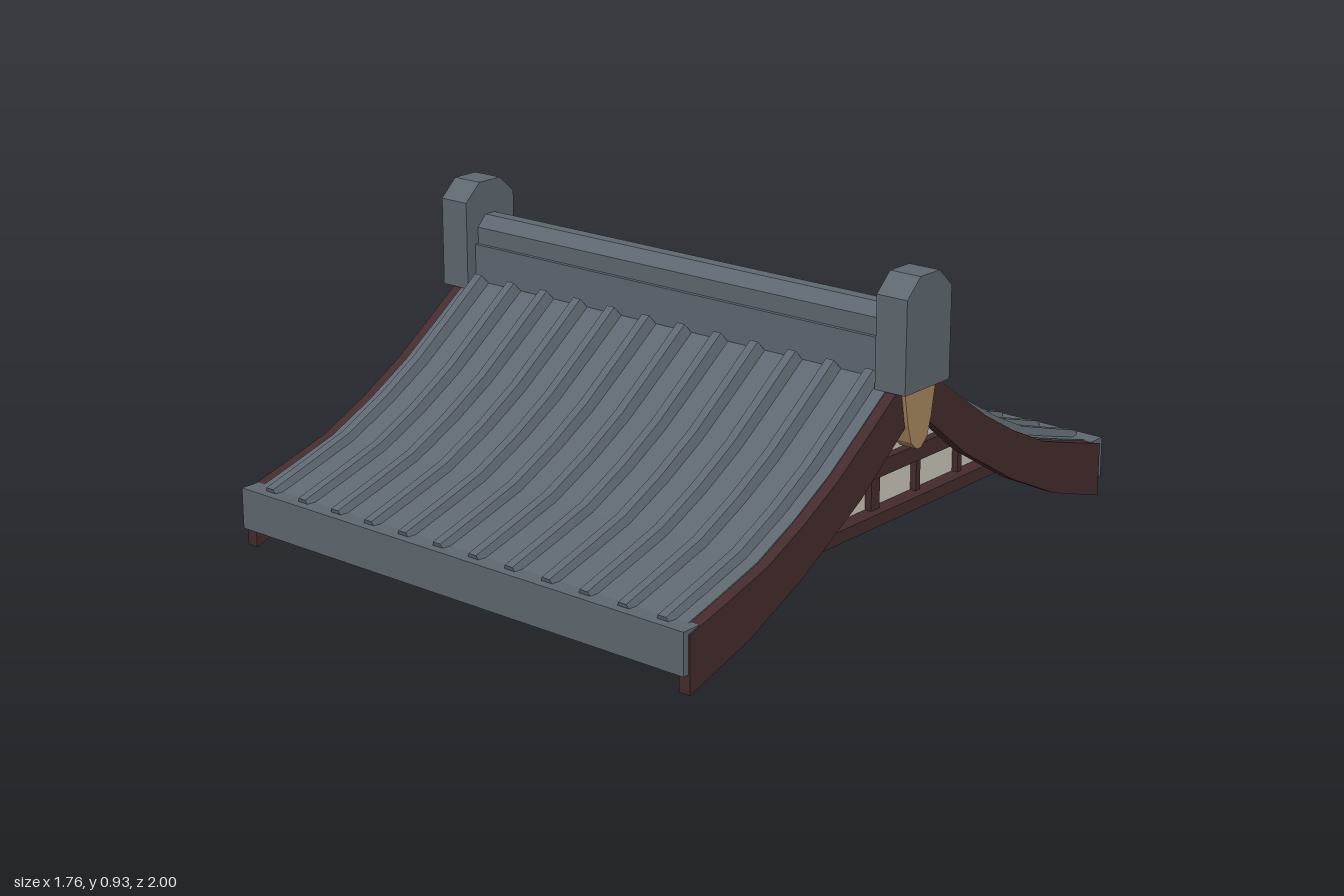
import * as THREE from 'three';

const slate = new THREE.MeshStandardMaterial({ color: 0x5f6870 });
slate.name = 'slate';
const timber = new THREE.MeshStandardMaterial({ color: 0x452b2d });
timber.name = 'dark timber';
const plaster = new THREE.MeshStandardMaterial({ color: 0xcac6bb });
plaster.name = 'plaster';
const gold = new THREE.MeshStandardMaterial({ color: 0xa8875f });
gold.name = 'ochre wood';

// Sagging roof line from ridge to eave, as [z, y]
const roofLine = [[0.07, 0.624], [0.22, 0.517], [0.35, 0.427], [0.5, 0.342], [0.66, 0.267], [0.82, 0.22], [0.97, 0.178]];

const mirrored = (half) => [...half, ...half.map(([z, y]) => [-z, y]).reverse()];

function add(parent, name, geometry, material) {
  const mesh = new THREE.Mesh(geometry, material);
  mesh.name = name;
  parent.add(mesh);
  return mesh;
}

function box(parent, name, material, x0, x1, y0, y1, z0, z1) {
  const g = new THREE.BoxGeometry(x1 - x0, y1 - y0, z1 - z0);
  g.translate((x0 + x1) / 2, (y0 + y1) / 2, (z0 + z1) / 2);
  return add(parent, name, g, material);
}

// Extrude a [z, y] outline along x from x0 to x1
function slab(parent, name, material, outline, x0, x1) {
  const shape = new THREE.Shape(outline.map(([z, y]) => new THREE.Vector2(-z, y)));
  const g = new THREE.ExtrudeGeometry(shape, { depth: x1 - x0, bevelEnabled: false });
  g.rotateY(Math.PI / 2);
  g.translate(x0, 0, 0);
  return add(parent, name, g, material);
}

// Tapered tile rib: a trapezoid swept down the roof line, getting lower at the eave
function ribGeometry() {
  const last = roofLine.length - 1;
  const pos = [];
  const index = [];
  roofLine.forEach(([z, y], i) => {
    const a = roofLine[Math.max(i - 1, 0)];
    const b = roofLine[Math.min(i + 1, last)];
    const n = new THREE.Vector2(a[1] - b[1], b[0] - a[0]).normalize();
    const height = THREE.MathUtils.lerp(0.034, 0.02, i / last);
    const section = [[-0.027, -0.01], [0.027, -0.01], [0.014, height], [-0.014, height]];
    section.forEach(([x, h]) => pos.push(x, y + n.y * h, z + n.x * h));
  });
  for (let i = 0; i < last; i++) {
    for (let k = 0; k < 4; k++) {
      const a = i * 4 + k, b = i * 4 + (k + 1) % 4;
      index.push(a, b, a + 4, b, b + 4, a + 4);
    }
  }
  const e = last * 4;
  index.push(0, 2, 1, 0, 3, 2, e, e + 1, e + 2, e, e + 2, e + 3);
  const g = new THREE.BufferGeometry();
  g.setAttribute('position', new THREE.Float32BufferAttribute(pos, 3));
  g.setIndex(index);
  const flat = g.toNonIndexed();
  flat.computeVertexNormals();
  return flat;
}

// One gable end on the +x side
function gable() {
  const g = new THREE.Group();
  g.name = 'gable';

  // Curved barge board
  const top = roofLine.slice(0, -1).map(([z, y]) => [z, y - 0.004]);
  const bottom = [[0.98, 0.002], [0.73, 0.08], [0.5, 0.187], [0.25, 0.335], [0.07, 0.475]];
  const half = [[0, 0.61], ...top, [0.98, 0.172], ...bottom, [0, 0.53]];
  const outline = [...half, ...half.slice(1, -1).map(([z, y]) => [-z, y]).reverse()];
  slab(g, 'bargeBoard', timber, outline, 0.808, 0.845);

  // Pendant under the ridge end
  slab(g, 'pendant', gold, mirrored([[0.075, 0.61], [0.055, 0.5], [0.038, 0.445], [0.01, 0.42]]), 0.80, 0.857);

  // Plaster infill with deep timber framing
  slab(g, 'gablePanel', plaster, mirrored([[0.04, 0.61], [0.1, 0.57], [0.35, 0.40], [0.66, 0.235], [0.68, 0.18]]), 0.66, 0.69);
  box(g, 'tieBeam', timber, 0.575, 0.74, 0.165, 0.203, -0.69, 0.69);
  box(g, 'collarBeam', timber, 0.595, 0.717, 0.298, 0.348, -0.46, 0.46);
  box(g, 'kingPost', timber, 0.6, 0.712, 0.19, 0.6, -0.02, 0.02);
  for (const s of [-1, 1]) {
    box(g, 'upperPost', timber, 0.6, 0.71, 0.34, 0.46, s * 0.18 - 0.011, s * 0.18 + 0.011);
    for (const z of [0.21, 0.42]) {
      box(g, 'lowerPost', timber, 0.6, 0.71, 0.19, 0.31, s * z - 0.01, s * z + 0.01);
    }
  }

  // Ridge end block with chamfered top
  slab(g, 'ridgeEnd', slate, mirrored([[0.045, 0.93], [0.105, 0.875], [0.105, 0.602]]), 0.777, 0.88);
  return g;
}

export function createModel() {
  const model = new THREE.Group();
  model.name = 'gabledTileRoof';

  // Roof deck, curved on both slopes
  const underside = roofLine.map(([z, y]) => [z, y - 0.07]).reverse();
  slab(model, 'roofDeck', slate, mirrored([...roofLine, ...underside]), -0.81, 0.81);

  // Tile ribs and eave boards on both slopes
  const rib = ribGeometry();
  for (const side of [0, 1]) {
    const slope = new THREE.Group();
    slope.name = side ? 'backSlope' : 'frontSlope';
    slope.rotation.y = side * Math.PI;
    for (let i = 0; i < 12; i++) {
      add(slope, 'tileRib', rib, slate).position.x = (i - 5.5) * 0.1357;
    }
    box(slope, 'eaveBoard', slate, -0.84, 0.84, 0.06, 0.185, 0.937, 1.0);
    model.add(slope);
  }

  // Ridge wall with a stepped, chamfered cap
  slab(model, 'ridgeWall', slate, mirrored([[0.068, 0.738], [0.07, 0.56]]), -0.78, 0.78);
  slab(model, 'ridgeCap', slate, mirrored([[0.02, 0.825], [0.055, 0.79], [0.055, 0.735]]), -0.78, 0.78);

  // Matching gable ends
  const left = gable();
  left.name = 'leftGable';
  const right = gable();
  right.name = 'rightGable';
  right.rotation.y = Math.PI;
  model.add(left, right);
  return model;
}
